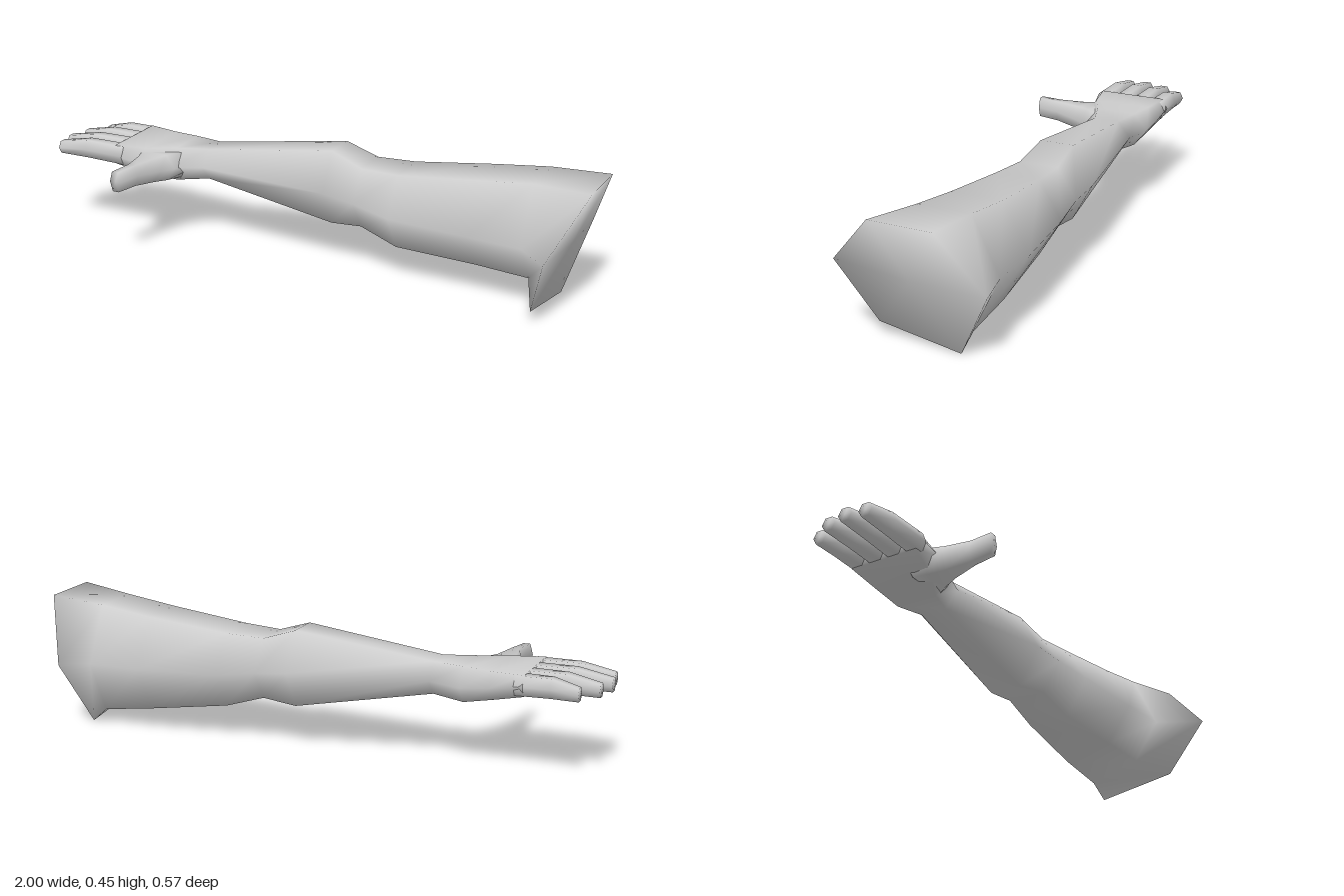
import * as THREE from 'three';

const SIDES = 6;
const V = (x, y, z) => new THREE.Vector3(x, y, z);

// Skin of six-sided rings with shared vertices, closed at both ends
function loft(name, rings) {
  const points = rings.flat();
  const index = [];
  const last = (rings.length - 1) * SIDES;
  for (let r = 0; r < last; r += SIDES) {
    for (let i = 0; i < SIDES; i++) {
      const a = r + i, b = r + (i + 1) % SIDES;
      index.push(a, b, a + SIDES, b, b + SIDES, a + SIDES);
    }
  }
  const middle = ring => ring.reduce((sum, p) => sum.add(p), V(0, 0, 0)).divideScalar(SIDES);
  const start = points.length, end = start + 1;
  points.push(middle(rings[0]), middle(rings[rings.length - 1]));
  for (let i = 0; i < SIDES; i++) {
    const j = (i + 1) % SIDES;
    index.push(start, j, i, end, last + i, last + j);
  }
  const geometry = new THREE.BufferGeometry().setFromPoints(points);
  geometry.setIndex(index);
  geometry.computeVertexNormals();
  const mesh = new THREE.Mesh(geometry, new THREE.MeshStandardMaterial({ color: 0xcccccc }));
  mesh.name = name;
  return mesh;
}

// Hexagon outline between limits: [across, y] pairs; flat = share of width kept at top and bottom
function hexagon(yTop, yBottom, low, high, flat = 0.5, skew = 0) {
  const c = (low + high) / 2, w = (high - low) / 2, m = (yTop + yBottom) / 2;
  return [[c + w, m], [c + w * flat, yTop], [c - w * flat, yTop],
    [c - w, m], [c - w * flat, yBottom], [c + w * flat, yBottom + skew]];
}

const ringX = ([x, ...shape]) => hexagon(...shape).map(([z, y]) => V(x, y, z));
const ringZ = ([z, ...shape]) => hexagon(...shape).map(([x, y]) => V(x, y, z));

export function createModel() {
  const arm = new THREE.Group();
  arm.name = 'arm';

  // Slanted, flared shoulder opening
  const shoulder = [V(0.91, 0.26, 0.24), V(1, 0.45, 0.06), V(1, 0.448, -0.16),
    V(0.91, 0.23, -0.287), V(0.85, 0, -0.165), V(0.84, 0.045, 0.127)];

  // Upper arm, elbow, forearm, wrist and palm: x, yTop, yBottom, zBack, zFront, flat, skew
  const limb = [
    [0.79, 0.435, 0.052, -0.268, 0.103, 0.5, 0.055],
    [0.6, 0.412, 0.08, -0.271, 0.09, 0.5, 0.035],
    [0.31, 0.38, 0.122, -0.243, 0.072, 0.5],
    [0.17, 0.376, 0.166, -0.23, 0.045, 0.5],
    [0.05, 0.416, 0.152, -0.235, 0.032, 0.45],
    [-0.43, 0.352, 0.242, -0.167, 0.02, 0.5],
    [-0.54, 0.352, 0.232, -0.188, 0.06, 0.6],
    [-0.64, 0.35, 0.255, -0.187, 0.095, 0.75],
    [-0.75, 0.353, 0.282, -0.183, 0.098, 0.88],
  ].map(ringX);
  arm.add(loft('armAndPalm', [shoulder, ...limb]));

  // Four fingers: name, tip x, z limits at the base, z limits at the tip
  const fingers = [
    ['indexFinger', -0.99, 0.03, 0.099, 0.042, 0.093],
    ['middleFinger', -1, -0.041, 0.031, -0.027, 0.024],
    ['ringFinger', -0.98, -0.112, -0.039, -0.105, -0.054],
    ['littleFinger', -0.93, -0.183, -0.11, -0.178, -0.13],
  ];
  for (const [name, tip, b0, b1, t0, t1] of fingers) {
    const knuckle = THREE.MathUtils.lerp(-0.73, tip, 0.55);
    arm.add(loft(name, [
      [-0.72, 0.35, 0.284, b0, b1, 0.6],
      [knuckle, 0.352, 0.287, (b0 + t0) / 2, (b1 + t1) / 2, 0.55],
      [tip, 0.33, 0.286, t0, t1, 0.5],
    ].map(ringX)));
  }

  // Thumb reaching out to the front: z, yTop, yBottom, xLow, xHigh, flat
  arm.add(loft('thumb', [
    [0, 0.34, 0.25, -0.7, -0.46, 0.6],
    [0.06, 0.338, 0.244, -0.685, -0.52, 0.6],
    [0.11, 0.336, 0.25, -0.663, -0.548, 0.55],
    [0.2, 0.337, 0.262, -0.633, -0.583, 0.55],
    [0.283, 0.335, 0.263, -0.645, -0.601, 0.55],
  ].map(ringZ)));

  return arm;
}
